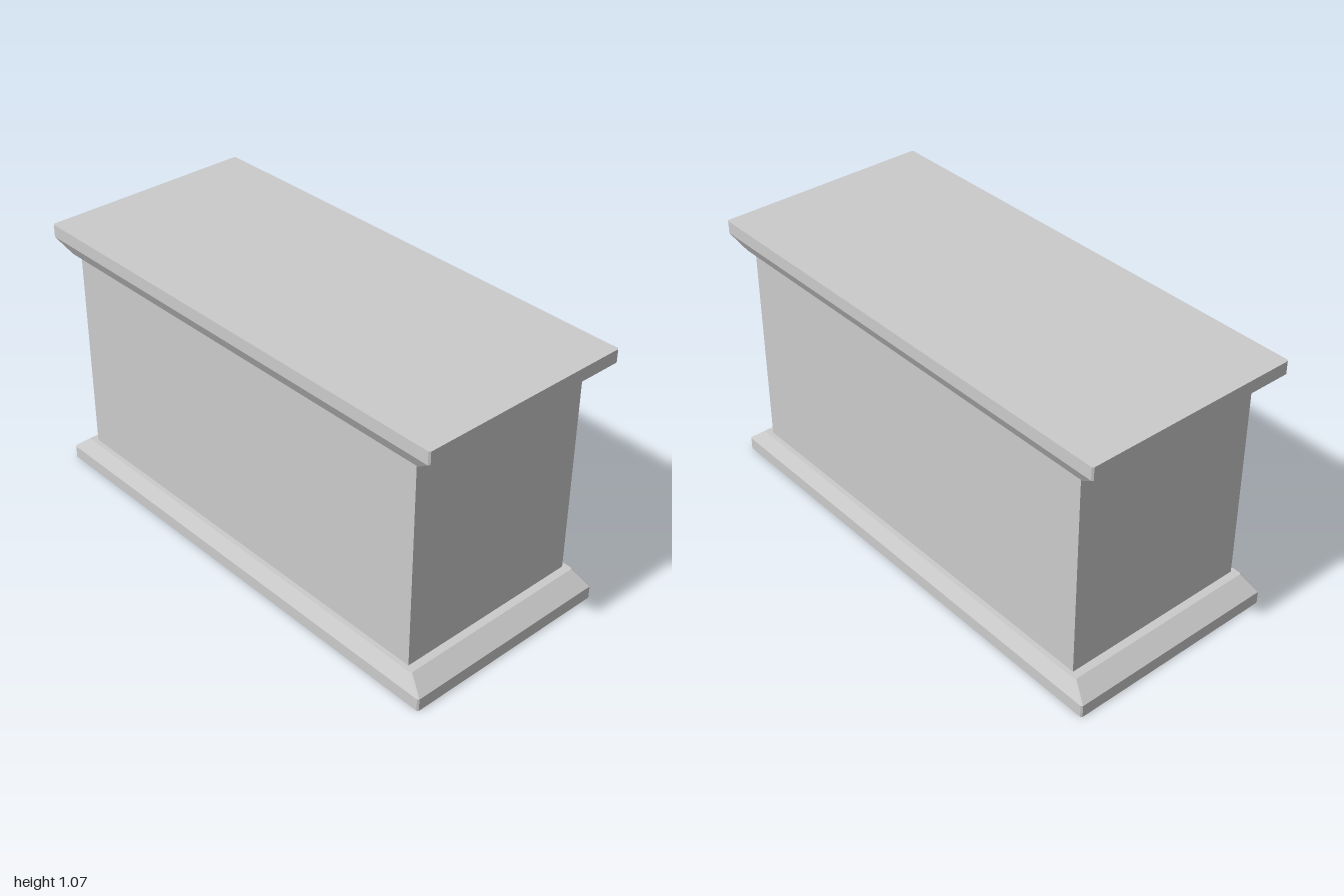
import * as THREE from 'three';

const material = new THREE.MeshStandardMaterial({ color: 0xcccccc, flatShading: true });

// Rectangle with slightly clipped corners, counter-clockwise seen from above
function ring(halfX, halfZ, y, cut = 0.006) {
  const x = halfX - cut, z = halfZ - cut;
  return [
    [halfX, y, z], [halfX, y, -z], [x, y, -halfZ], [-x, y, -halfZ],
    [-halfX, y, -z], [-halfX, y, z], [-x, y, halfZ], [x, y, halfZ],
  ];
}

// Closed solid through rings listed from bottom to top
function loft(rings) {
  const positions = [];
  const tri = (a, b, c) => positions.push(...a, ...b, ...c);
  for (let r = 0; r < rings.length - 1; r++) {
    const low = rings[r], high = rings[r + 1], n = low.length;
    for (let i = 0; i < n; i++) {
      const j = (i + 1) % n;
      tri(low[i], low[j], high[j]);
      tri(low[i], high[j], high[i]);
    }
  }
  const bottom = rings[0], top = rings[rings.length - 1];
  for (let i = 1; i < top.length - 1; i++) {
    tri(top[0], top[i], top[i + 1]);
    tri(bottom[0], bottom[i + 1], bottom[i]);
  }
  const geometry = new THREE.BufferGeometry();
  geometry.setAttribute('position', new THREE.Float32BufferAttribute(positions, 3));
  geometry.computeVertexNormals();
  return geometry;
}

function addPart(group, name, geometry) {
  const mesh = new THREE.Mesh(geometry, material);
  mesh.name = name;
  group.add(mesh);
  return mesh;
}

export function createModel() {
  const model = new THREE.Group();
  model.name = 'pedestal';

  const outer = [0.445, 1.0];
  const inner = [0.415, 0.932];

  // Plinth: straight edge below, sloping inwards above
  addPart(model, 'basePlinth', loft([
    ring(...outer, 0), ring(...outer, 0.052), ring(...inner, 0.11),
  ]));

  // Plain block between the two mouldings
  const bodyHeight = 0.965 - 0.11;
  const body = addPart(model, 'body', new THREE.BoxGeometry(0.79, bodyHeight, 1.8));
  body.position.y = 0.11 + bodyHeight / 2;

  // Cap: the plinth profile turned upside down
  addPart(model, 'topCap', loft([
    ring(...inner, 0.965), ring(...outer, 1.021), ring(...outer, 1.073),
  ]));

  return model;
}
